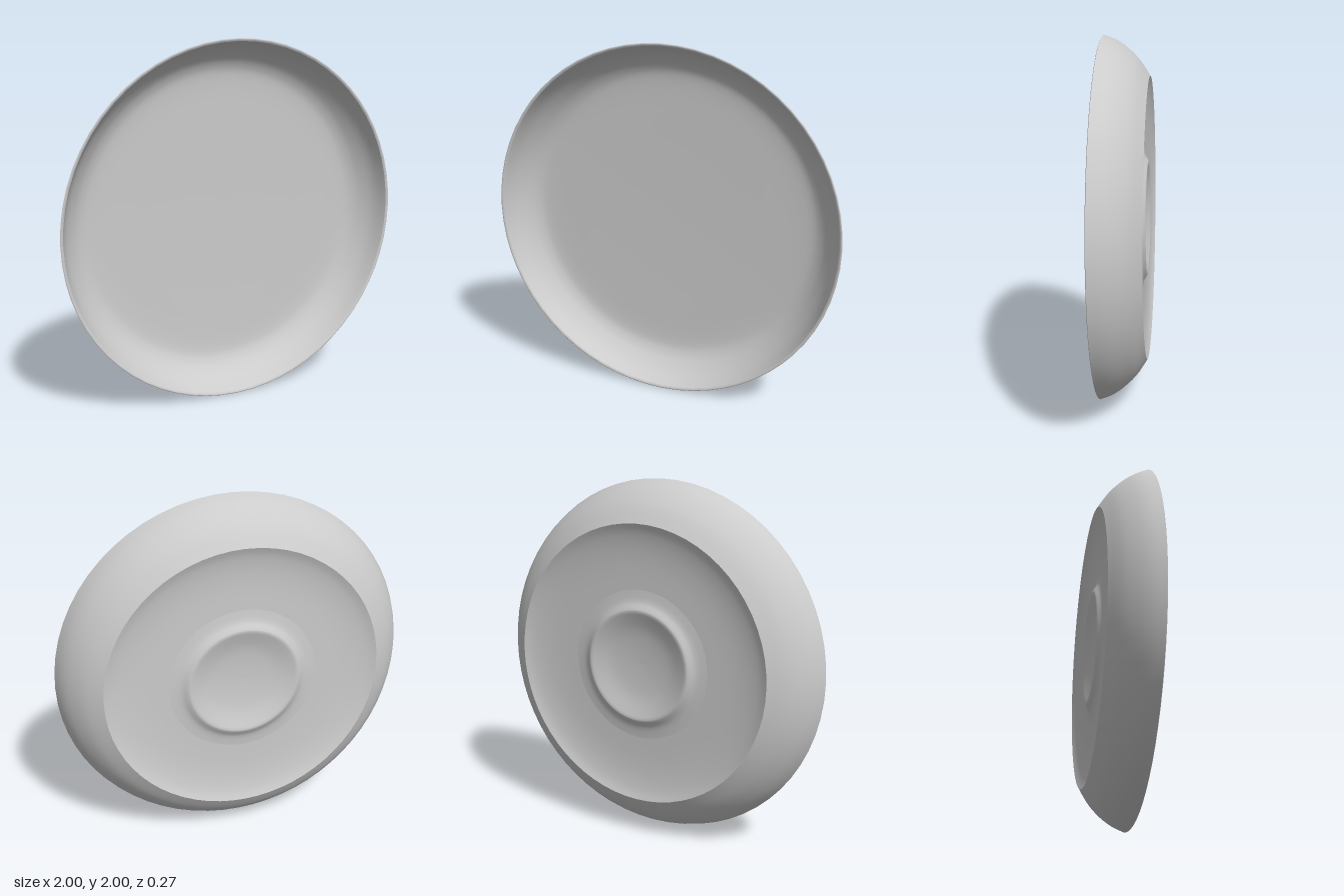
import * as THREE from 'three';

const material = new THREE.MeshStandardMaterial({ color: 0xcccccc, side: THREE.DoubleSide });

// Turned surface around the z axis from [radius, z] points, smoothed by a spline
function turned(name, points, steps) {
  const curve = new THREE.SplineCurve(points.map(([r, z]) => new THREE.Vector2(r, z)));
  const profile = curve.getPoints(steps);
  profile.forEach((p) => { p.x = Math.max(p.x, 0); });
  const geometry = new THREE.LatheGeometry(profile, 64);
  geometry.rotateX(Math.PI / 2);
  const mesh = new THREE.Mesh(geometry, material);
  mesh.name = name;
  return mesh;
}

export function createModel() {
  const group = new THREE.Group();
  group.name = 'dish';

  const body = new THREE.Group();
  body.name = 'dishBody';
  body.add(
    // round bowl-shaped hollow in the middle of the back
    turned('backHollow', [[0, -0.072], [0.1, -0.076], [0.2, -0.088], [0.295, -0.116]], 12),
    // narrow lip around the hollow, flaring down into the recess
    turned('hollowLip', [[0.295, -0.116], [0.31, -0.118], [0.325, -0.112], [0.36, -0.094], [0.42, -0.086]], 12),
    // shallow recess sloping gently up to the foot ridge
    turned('backRecess', [[0.42, -0.086], [0.55, -0.087], [0.65, -0.094], [0.73, -0.108], [0.78, -0.126]], 14),
    // rounded outside from foot ridge to front edge
    turned('outerWall', [[0.78, -0.126], [0.868, -0.068], [0.935, 0.0], [0.975, 0.06], [1, 0.122]], 14),
    // thin front edge
    turned('rim', [[1, 0.122], [0.994, 0.125], [0.984, 0.12]], 4),
    // hollow front: curved side easing into a gently dished floor
    turned('frontBowl', [[0.984, 0.12], [0.95, 0.052], [0.905, 0.0], [0.85, -0.04], [0.77, -0.059], [0.55, -0.064], [0.3, -0.067], [0, -0.068]], 28),
  );

  // slight lean of the whole dish
  body.rotation.set(0.005, -0.0125, 0);
  body.position.y = 1;
  group.add(body);
  return group;
}
